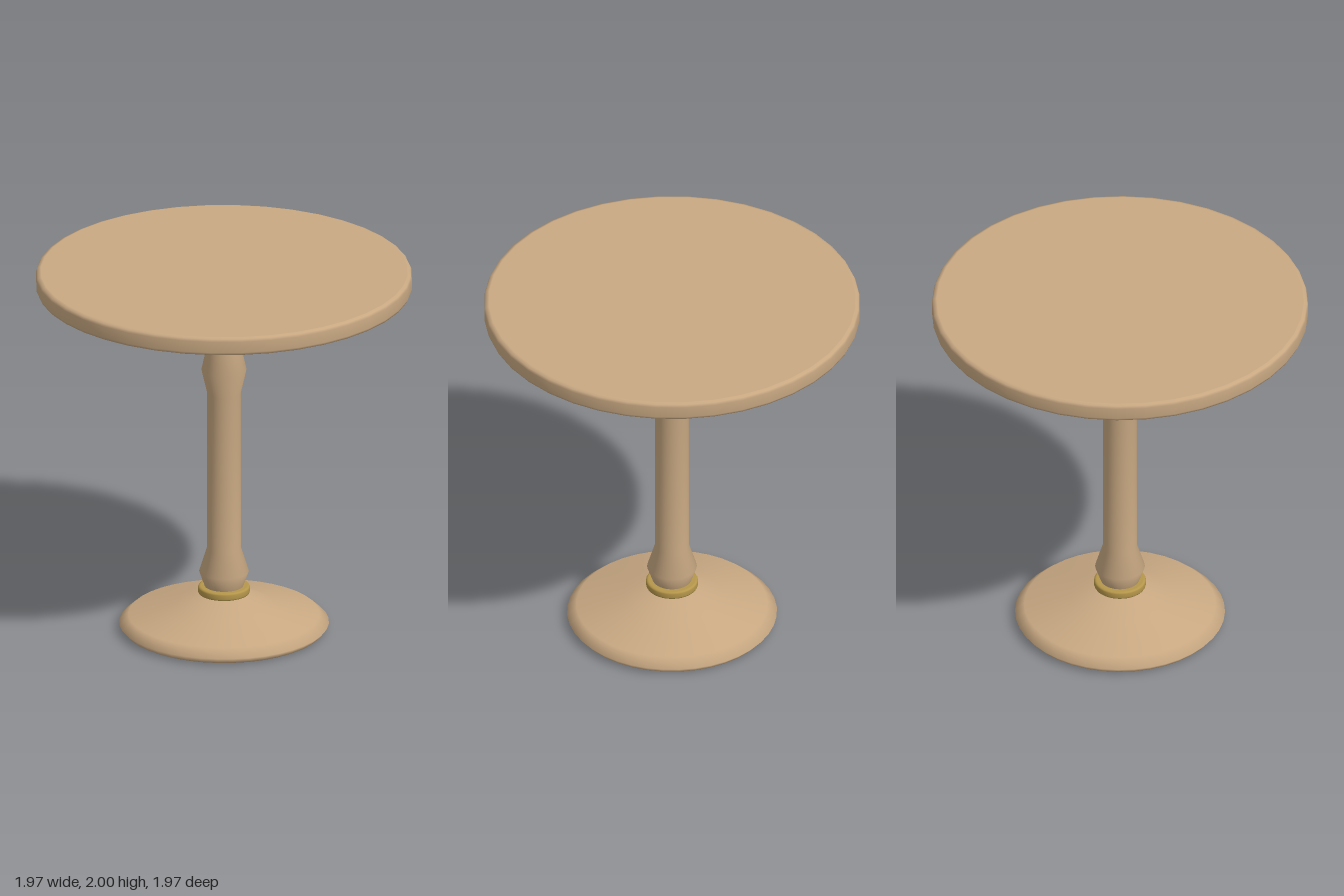
import * as THREE from 'three';

const wood = new THREE.MeshStandardMaterial({ color: 0xc8a882 });
wood.name = 'wood';
const brass = new THREE.MeshStandardMaterial({ color: 0xb5964a });
brass.name = 'brass';

// Turned part from a bottom-to-top profile of [radius, height] pairs
function turned(name, profile, material, segments = 40) {
  const points = profile.map(([r, y]) => new THREE.Vector2(r, y));
  const mesh = new THREE.Mesh(new THREE.LatheGeometry(points, segments), material);
  mesh.name = name;
  return mesh;
}

// Closed disc with softened rims; inner rim points keep the faces flat
function disc(name, radius, bottom, top, bevel, material) {
  const b = bevel, c = bevel * 0.3;
  return turned(name, [
    [0, bottom], [radius - b - 0.005, bottom], [radius - b, bottom],
    [radius - c, bottom + c], [radius, bottom + b],
    [radius, top - b], [radius - c, top - c],
    [radius - b, top], [radius - b - 0.005, top], [0, top],
  ], material);
}

export function createModel() {
  const table = new THREE.Group();
  table.name = 'pedestalTable';

  // Flared foot
  table.add(turned('foot', [
    [0, 0], [0.515, 0], [0.525, 0.005], [0.55, 0.035], [0.5, 0.08],
    [0.26, 0.135], [0.12, 0.2], [0, 0.2],
  ], wood));

  // Metal collar between foot and column
  table.add(disc('collar', 0.136, 0.198, 0.24, 0.01, brass));

  // Column with two turned swellings
  table.add(turned('column', [
    [0.1, 0.235], [0.13, 0.32], [0.09, 0.45], [0.088, 0.9], [0.088, 1.32],
    [0.118, 1.45], [0.09, 1.58], [0.088, 1.78],
  ], wood));

  // Support under the top, then the round top itself
  table.add(disc('topSupport', 0.631, 1.77, 1.9, 0.015, wood));
  table.add(disc('tableTop', 0.985, 1.9, 2, 0.02, wood));

  return table;
}
